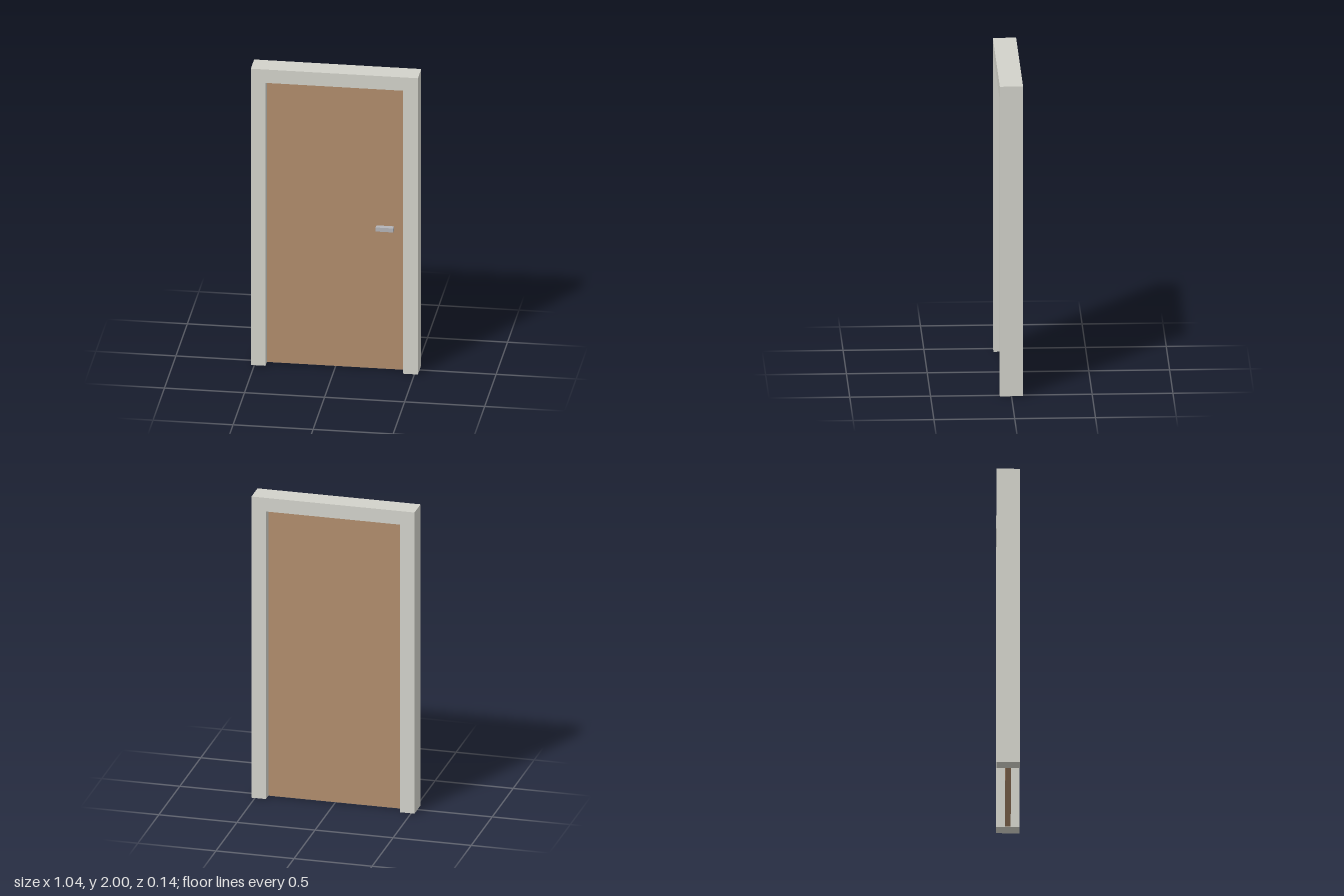
import * as THREE from 'three';

const W = 0.522, H = 2, D = 0.144;      // frame half width, height, depth
const IW = 0.43, IH = 1.91;             // opening half width and height
const GAP = 0.003, LEAF = 0.036;        // door clearance and thickness

function add(group, name, geometry, color, x = 0, y = 0, z = 0) {
  const mesh = new THREE.Mesh(geometry, new THREE.MeshStandardMaterial({ color }));
  mesh.name = name;
  mesh.position.set(x, y, z);
  group.add(mesh);
}

export function createModel() {
  const door = new THREE.Group();
  door.name = 'door';

  // Frame: two jambs and a head in one piece, open at the floor
  const outline = new THREE.Shape([
    [-W, 0], [-IW, 0], [-IW, IH], [IW, IH], [IW, 0], [W, 0], [W, H], [-W, H],
  ].map(([x, y]) => new THREE.Vector2(x, y)));
  const frame = new THREE.ExtrudeGeometry(outline, { depth: D, bevelEnabled: false });
  add(door, 'frame', frame, 0xd2d2ca, 0, 0, -D / 2);

  // Door leaf, set midway in the frame depth
  const leafHeight = IH - 2 * GAP;
  add(door, 'doorLeaf', new THREE.BoxGeometry(2 * (IW - GAP), leafHeight, LEAF),
    0xb08c6c, 0, GAP + leafHeight / 2, 0);

  // Lever handle on the front only
  add(door, 'handle', new THREE.BoxGeometry(0.11, 0.027, 0.036), 0xb4b4b8, 0.31, 0.954, 0.034);

  return door;
}
